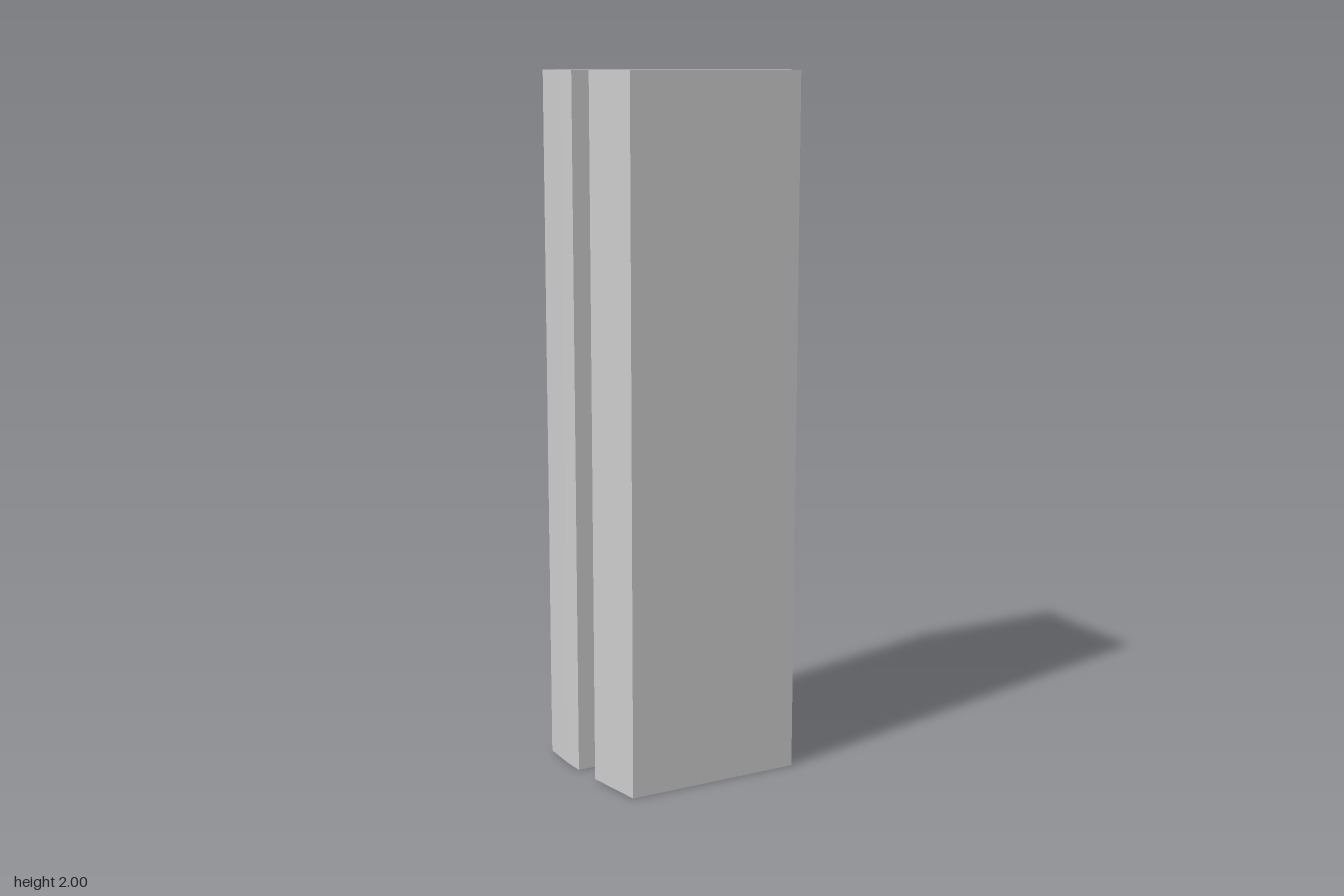
import * as THREE from 'three';

export function createModel() {
  const group = new THREE.Group();
  group.name = 'groovedPost';

  // Plan outline as [x, z]: a turned rectangle with a slot and sloped lips on one side
  const outline = [
    [-0.359, 0.008], [-0.293, 0.098], [-0.251, 0.145], [-0.19, 0.101], [-0.141, 0.168],
    [-0.192, 0.205], [-0.061, 0.326], [0.359, 0.021], [0.104, -0.328],
  ];
  const shape = new THREE.Shape(outline.map(([x, z]) => new THREE.Vector2(x, -z)));

  // Straight post, full height
  const geometry = new THREE.ExtrudeGeometry(shape, { depth: 2, bevelEnabled: false });
  geometry.rotateX(-Math.PI / 2);

  const post = new THREE.Mesh(
    geometry,
    new THREE.MeshStandardMaterial({ color: 0xcccccc, flatShading: true })
  );
  post.name = 'post';
  group.add(post);
  return group;
}
